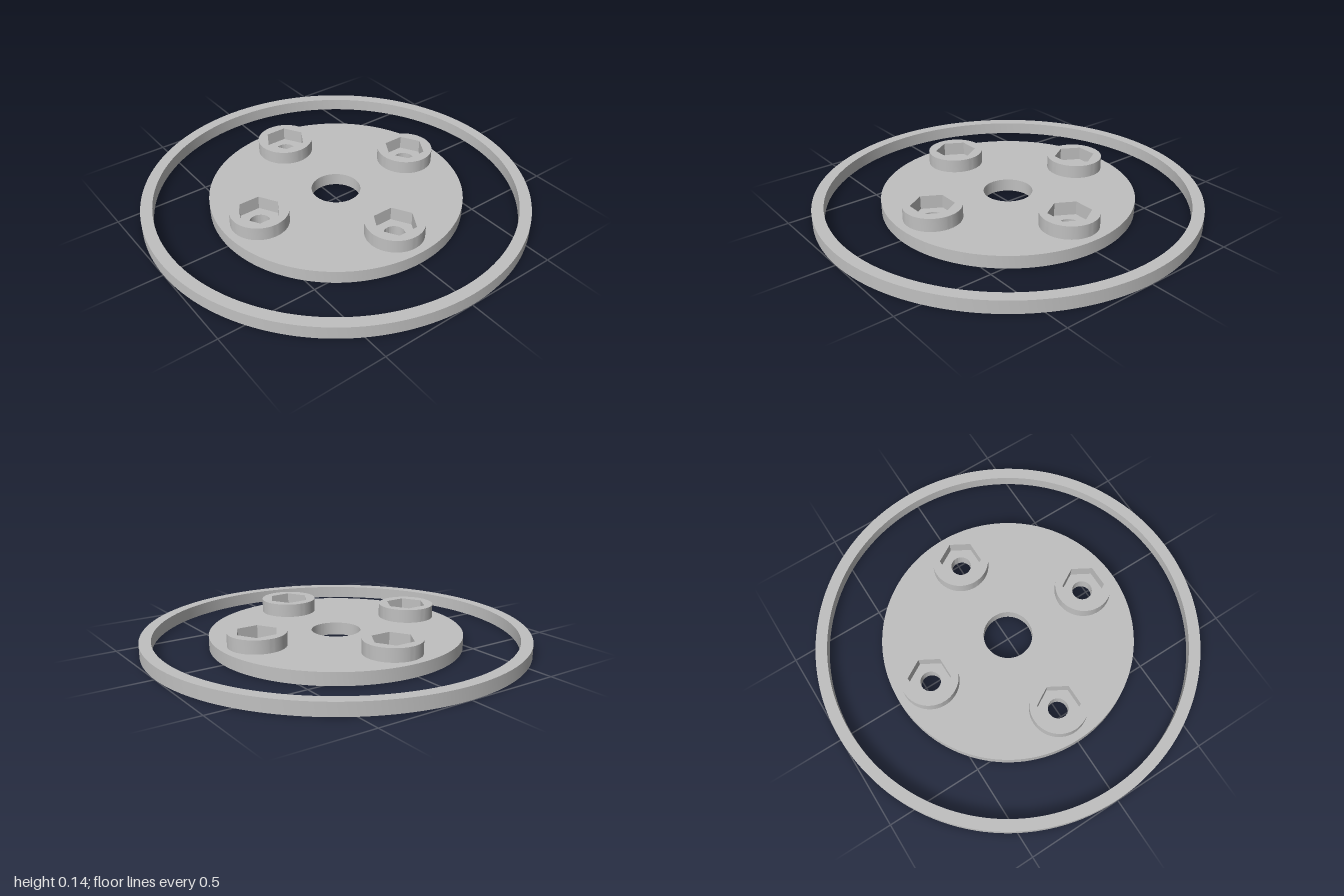
import * as THREE from 'three';
import { toCreasedNormals } from 'three/addons/utils/BufferGeometryUtils.js';

const PLATE_HEIGHT = 0.066;
const BOSS_HEIGHT = 0.07;
const BOLT_RADIUS = 0.468;

function circle(radius, x = 0, y = 0, Type = THREE.Path) {
  return new Type().absarc(x, y, radius, 0, Math.PI * 2, false);
}

// Hexagon with two corners on the y axis of the shape
function hexagon(radius) {
  const points = [];
  for (let i = 0; i < 6; i++) {
    const a = Math.PI / 2 + i * Math.PI / 3;
    points.push(new THREE.Vector2(Math.cos(a) * radius, Math.sin(a) * radius));
  }
  return new THREE.Path(points);
}

// Disc with holes, lying flat with its underside on y = 0
function disc(name, radius, holes, height, material, segments) {
  const shape = circle(radius, 0, 0, THREE.Shape);
  shape.holes.push(...holes);
  const geometry = new THREE.ExtrudeGeometry(shape, {
    depth: height, bevelEnabled: false, curveSegments: segments,
  });
  geometry.rotateX(-Math.PI / 2);
  const mesh = new THREE.Mesh(toCreasedNormals(geometry, 0.6), material);
  mesh.name = name;
  return mesh;
}

export function createModel() {
  const group = new THREE.Group();
  group.name = 'hubPlateAndRing';
  const grey = new THREE.MeshStandardMaterial({ color: 0xc0c0c0 });
  grey.name = 'grey';

  const centres = [];
  for (let i = 0; i < 4; i++) {
    const a = i * Math.PI / 2;
    centres.push([Math.cos(a) * BOLT_RADIUS, Math.sin(a) * BOLT_RADIUS]);
  }

  // Separate outer ring
  group.add(disc('outerRing', 1, [circle(0.94)], PLATE_HEIGHT, grey, 96));

  // Round plate with a centre bore and four bolt holes
  const holes = [circle(0.127), ...centres.map(([x, y]) => circle(0.052, x, y))];
  group.add(disc('hubPlate', 0.655, holes, PLATE_HEIGHT, grey, 72));

  // Raised bosses with hexagonal sockets down to the plate
  centres.forEach(([x, z], i) => {
    const boss = disc('hexSocketBoss' + (i + 1), 0.147, [hexagon(0.109)], BOSS_HEIGHT, grey, 48);
    boss.position.set(x, PLATE_HEIGHT, z);
    group.add(boss);
  });

  return group;
}
